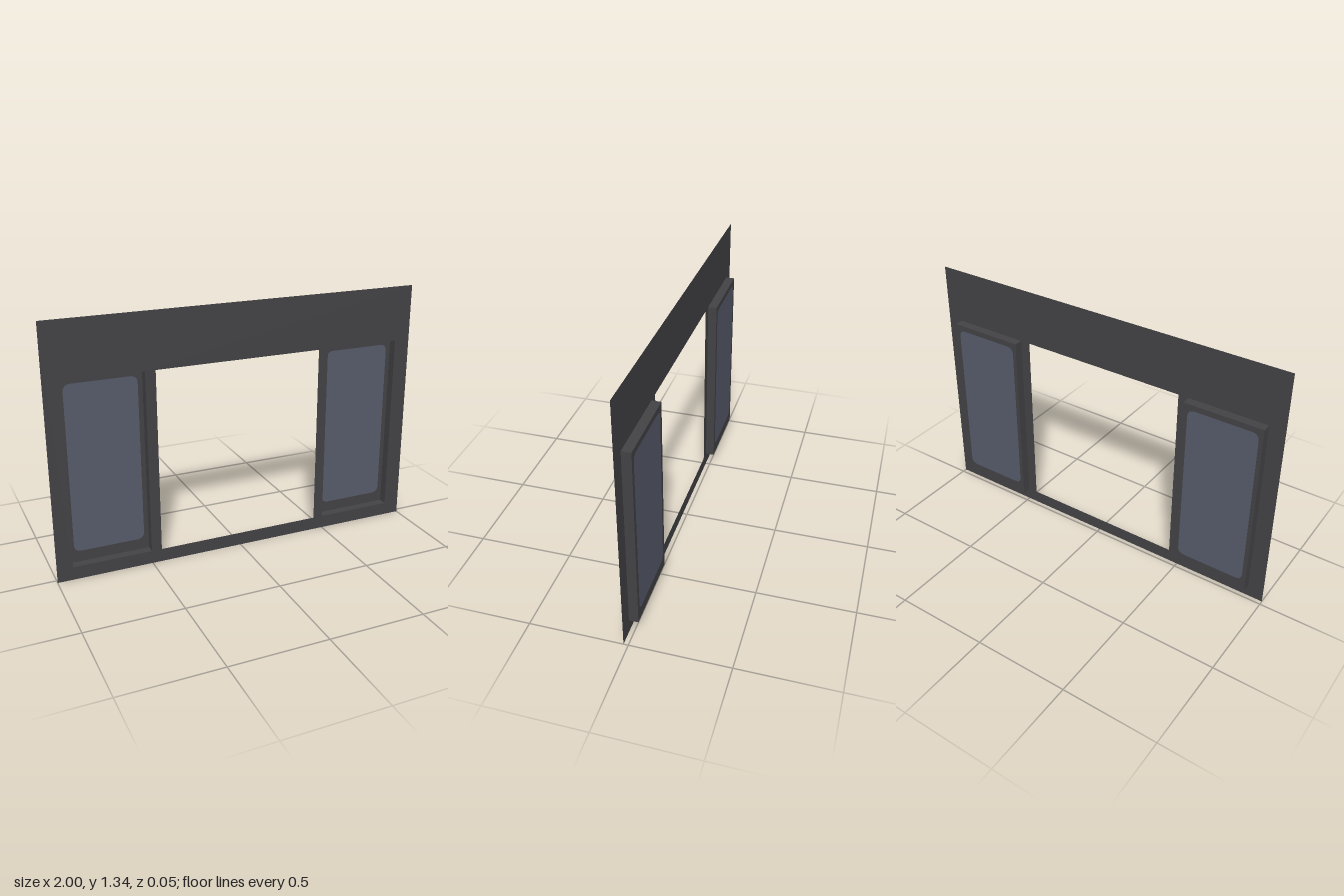
import * as THREE from 'three';

const FRONT = 0.0235, BACK = -0.0235;   // wall plane and recessed panel plane
const Y0 = 0.07, Y1 = 1.04, HEIGHT = 1.335;
const WIN_HALF = 0.207;

// Traces a rectangle, with rounded corners when r > 0
function rect(path, x0, y0, x1, y1, r = 0) {
  if (r === 0) {
    path.moveTo(x0, y0).lineTo(x1, y0).lineTo(x1, y1).lineTo(x0, y1).lineTo(x0, y0);
    return path;
  }
  path.moveTo(x0 + r, y0);
  path.lineTo(x1 - r, y0).quadraticCurveTo(x1, y0, x1, y0 + r);
  path.lineTo(x1, y1 - r).quadraticCurveTo(x1, y1, x1 - r, y1);
  path.lineTo(x0 + r, y1).quadraticCurveTo(x0, y1, x0, y1 - r);
  path.lineTo(x0, y0 + r).quadraticCurveTo(x0, y0, x0 + r, y0);
  return path;
}

export function createModel() {
  const frameMat = new THREE.MeshStandardMaterial({ color: 0x434246, side: THREE.DoubleSide });
  frameMat.name = 'dark frame';
  const glassMat = new THREE.MeshStandardMaterial({ color: 0x575c6b, side: THREE.DoubleSide });
  glassMat.name = 'blue grey glass';

  const model = new THREE.Group();
  model.name = 'wallWithWindows';
  const add = (parent, name, geo, mat, x = 0, y = 0, z = 0) => {
    const mesh = new THREE.Mesh(geo, mat);
    mesh.name = name;
    mesh.position.set(x, y, z);
    parent.add(mesh);
    return mesh;
  };

  // Thin wall sheet with a doorway and two window openings
  const centres = { right: -0.71, left: 0.707 };
  const wall = rect(new THREE.Shape(), -1, 0, 1, HEIGHT);
  wall.holes.push(rect(new THREE.Path(), -0.449, Y0, 0.446, Y1));
  for (const cx of Object.values(centres)) {
    wall.holes.push(rect(new THREE.Path(), cx - WIN_HALF, Y0, cx + WIN_HALF, Y1));
  }
  add(model, 'wall', new THREE.ShapeGeometry(wall), frameMat, 0, 0, FRONT);

  // Recessed windows, each a shallow open tray behind the wall
  const depth = FRONT - BACK, midY = (Y0 + Y1) / 2;
  for (const [side, cx] of Object.entries(centres)) {
    const win = new THREE.Group();
    win.name = side + 'Window';
    win.position.x = cx;
    model.add(win);

    const pane = [-0.185, 0.128, 0.183, 1.01, 0.04];
    const panel = rect(new THREE.Shape(), -WIN_HALF, Y0, WIN_HALF, Y1);
    panel.holes.push(rect(new THREE.Path(), ...pane));
    add(win, 'windowFrame', new THREE.ShapeGeometry(panel), frameMat, 0, 0, BACK);
    add(win, 'windowGlass', new THREE.ShapeGeometry(rect(new THREE.Shape(), ...pane)), glassMat, 0, 0, BACK);

    // Four reveals joining the panel to the wall
    for (const s of [-1, 1]) {
      const jamb = new THREE.PlaneGeometry(depth, Y1 - Y0).rotateY(s * Math.PI / 2);
      add(win, 'jamb', jamb, frameMat, s * WIN_HALF, midY, 0);
      const ledge = new THREE.PlaneGeometry(2 * WIN_HALF, depth).rotateX(-s * Math.PI / 2);
      add(win, s > 0 ? 'head' : 'sill', ledge, frameMat, 0, s > 0 ? Y1 : Y0, 0);
    }
  }
  return model;
}
